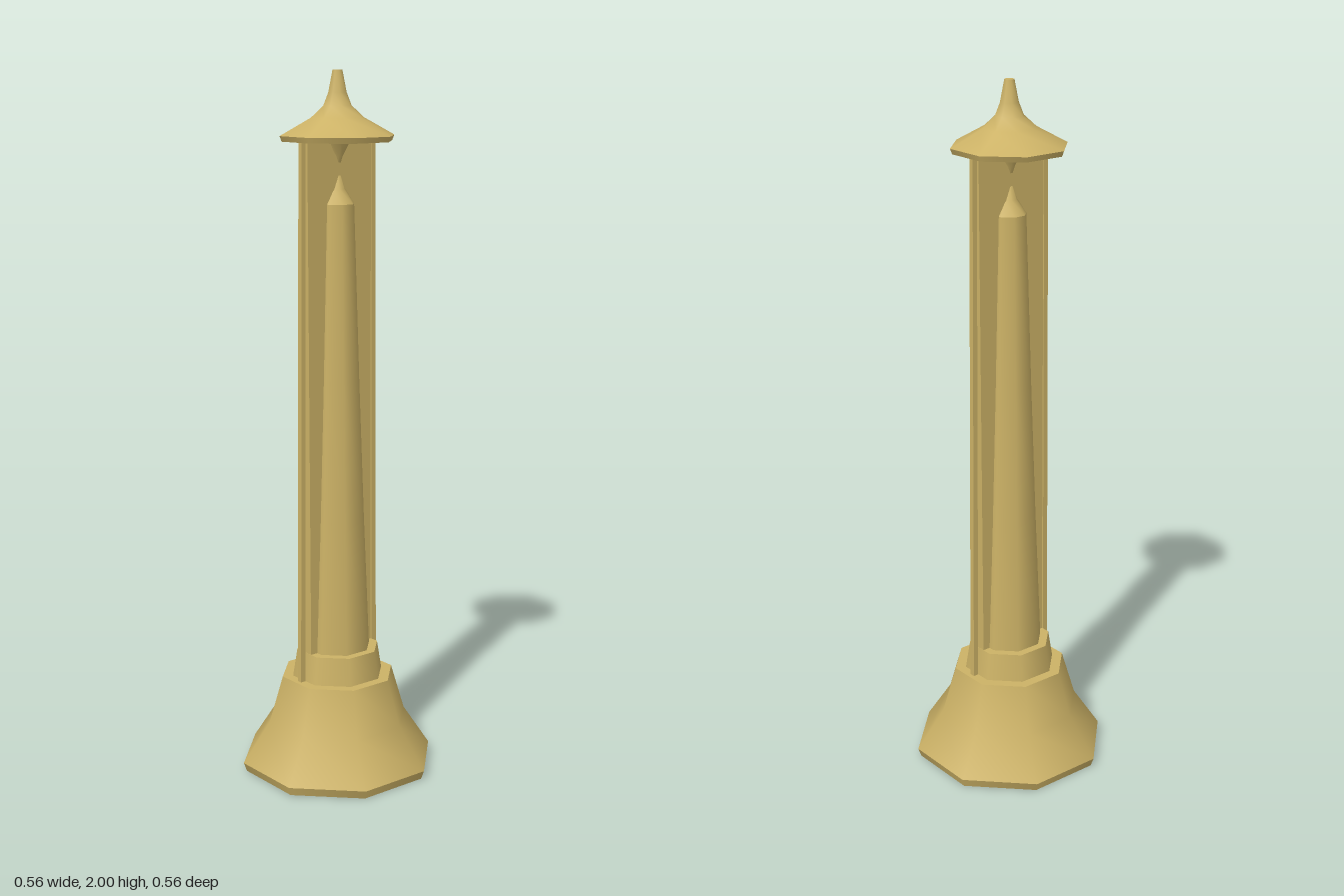
import * as THREE from 'three';

const SIDES = 8;
const TURN = THREE.MathUtils.degToRad(-6); // octagon is turned slightly off the axes
const material = new THREE.MeshStandardMaterial({ color: 0xccb266, side: THREE.DoubleSide });

// Eight-sided turned part; each profile is a smooth band, creases lie between bands
function turned(name, ...bands) {
  const group = new THREE.Group();
  group.name = name;
  for (const band of bands) {
    const points = band.map(([r, y]) => new THREE.Vector2(r, y));
    const mesh = new THREE.Mesh(new THREE.LatheGeometry(points, SIDES, TURN), material);
    mesh.name = name + 'Band';
    group.add(mesh);
  }
  return group;
}

// Box between two heights whose section (x by z, centred at z) changes from bottom to top
function taperedBox(name, bottom, top) {
  const geometry = new THREE.BoxGeometry(1, 1, 1);
  const p = geometry.attributes.position;
  for (let i = 0; i < p.count; i++) {
    const s = p.getY(i) < 0 ? bottom : top;
    p.setXYZ(i, p.getX(i) * s.width, s.y, s.z + p.getZ(i) * s.depth);
  }
  geometry.computeVertexNormals();
  const mesh = new THREE.Mesh(geometry, material);
  mesh.name = name;
  return mesh;
}

export function createModel() {
  const model = new THREE.Group();
  model.name = 'tower';

  // Hollow flared foot and the collar on it
  model.add(turned('base',
    [[0.275, 0], [0.284, 0.025]],
    [[0.284, 0.025], [0.205, 0.145], [0.165, 0.28]],
    [[0.165, 0.28], [0.13, 0.28]]));
  model.add(turned('collar',
    [[0.134, 0.28], [0.121, 0.36]],
    [[0.121, 0.36], [0, 0.36]]));

  // Tapering column with a pointed cap
  model.add(turned('column',
    [[0.096, 0.36], [0.079, 0.75], [0.064, 1.15], [0.048, 1.64]],
    [[0.048, 1.64], [0.022, 1.68], [0.003, 1.74]]));

  // Point hanging under the roof
  model.add(turned('roofPendant', [[0.003, 1.73], [0.016, 1.77], [0.038, 1.812]]));

  // Roof with a concave spire
  model.add(turned('roof',
    [[0, 1.81], [0.157, 1.81]],
    [[0.157, 1.81], [0.163, 1.825]],
    [[0.163, 1.825], [0.075, 1.873], [0.04, 1.905], [0.026, 1.94], [0.014, 2]],
    [[0.014, 2], [0, 2]]));

  // Upright panel through the column with a slim post beyond each edge
  const frame = new THREE.Group();
  frame.name = 'frame';
  frame.rotation.y = TURN - Math.PI / 8;
  frame.add(taperedBox('panel',
    { y: 0.36, z: 0, width: 0.036, depth: 0.222 },
    { y: 1.81, z: 0, width: 0.018, depth: 0.222 }));
  for (const side of [-1, 1]) {
    frame.add(taperedBox('post',
      { y: 0.28, z: side * 0.132, width: 0.016, depth: 0.016 },
      { y: 1.81, z: side * 0.122, width: 0.014, depth: 0.014 }));
  }
  model.add(frame);
  return model;
}
